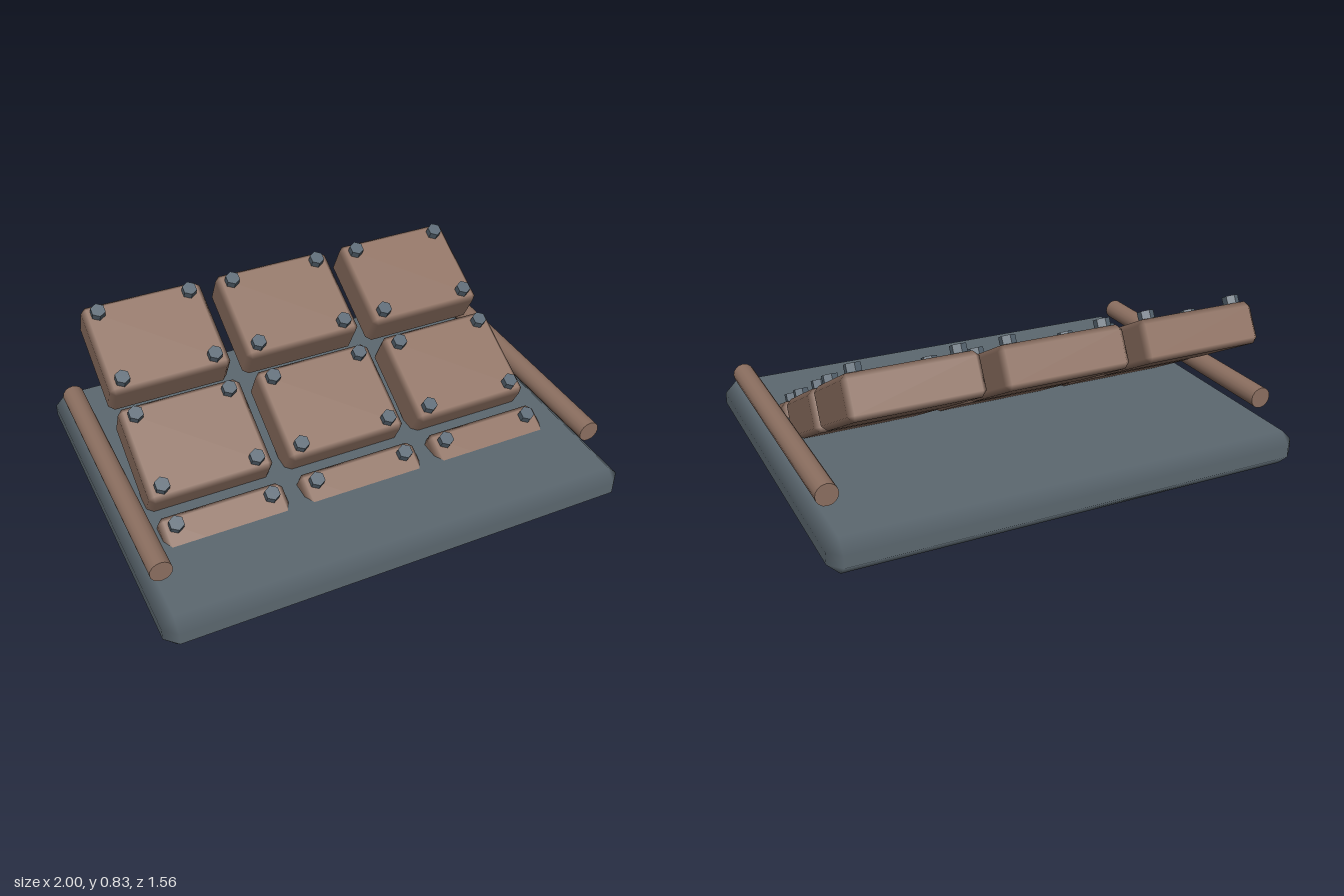
import * as THREE from 'three';
import { ConvexGeometry } from 'three/addons/geometries/ConvexGeometry.js';

// Box with every edge cut back by c; normals blend softly across the bevels
function bevelBox(w, h, d, c) {
  const half = [w / 2, h / 2, d / 2];
  const points = [];
  for (let axis = 0; axis < 3; axis++)
    for (const sx of [-1, 1]) for (const sy of [-1, 1]) for (const sz of [-1, 1]) {
      const p = [sx, sy, sz].map((s, i) => s * (half[i] - (i === axis ? 0 : c)));
      points.push(new THREE.Vector3(...p));
    }
  const geometry = new ConvexGeometry(points);
  const pos = geometry.attributes.position, nor = geometry.attributes.normal;
  for (let i = 0; i < pos.count; i++) {
    const p = [pos.getX(i), pos.getY(i), pos.getZ(i)];
    nor.setXYZ(i, ...p.map((v, k) => (Math.abs(v) > half[k] - c / 2 ? Math.sign(v) : 0)));
  }
  return geometry;
}

export function createModel() {
  const group = new THREE.Group();
  const slate = new THREE.MeshStandardMaterial({ color: 0x5c6870 });
  slate.name = 'slate';
  const brown = new THREE.MeshStandardMaterial({ color: 0x8d7061 });
  brown.name = 'brown';
  const steel = new THREE.MeshStandardMaterial({ color: 0x566470 });
  steel.name = 'steel';

  const add = (parent, name, geometry, material, x, y, z) => {
    const mesh = new THREE.Mesh(geometry, material);
    mesh.name = name;
    mesh.position.set(x, y, z);
    parent.add(mesh);
    return mesh;
  };

  // Base slab
  add(group, 'baseSlab', bevelBox(2, 0.15, 1.56, 0.05), slate, 0, 0.215, 0);

  // Side rails
  const railGeometry = new THREE.CylinderGeometry(0.045, 0.045, 1.18, 16).rotateX(Math.PI / 2);
  for (const side of [-1, 1])
    add(group, side > 0 ? 'leftRail' : 'rightRail', railGeometry, brown, side * 0.94, 0.38, 0);

  // Tilted bank of tiles, three by three, each with four hex bolts
  const tilt = 0.5, pitch = 0.488, thick = 0.172;
  const bank = new THREE.Group();
  bank.name = 'tileBank';
  bank.position.set(0, 0.41, 0.003);
  bank.rotation.x = tilt;
  group.add(bank);
  const tileGeometry = bevelBox(0.525, thick, 0.424, 0.022);
  const boltGeometry = new THREE.CylinderGeometry(0.032, 0.032, 0.05, 6).toNonIndexed();
  boltGeometry.computeVertexNormals();
  for (let row = -1; row <= 1; row++)
    for (let column = -1; column <= 1; column++) {
      const tile = new THREE.Group();
      tile.name = 'boltedTile';
      tile.position.set(column * 0.597, 0, row * pitch);
      bank.add(tile);
      add(tile, 'tile', tileGeometry, brown, 0, 0, 0);
      for (const x of [-0.2, 0.2]) for (const z of [-0.16, 0.16])
        add(tile, 'bolt', boltGeometry, steel, x, thick / 2 + 0.008, z);
    }
  return group;
}
